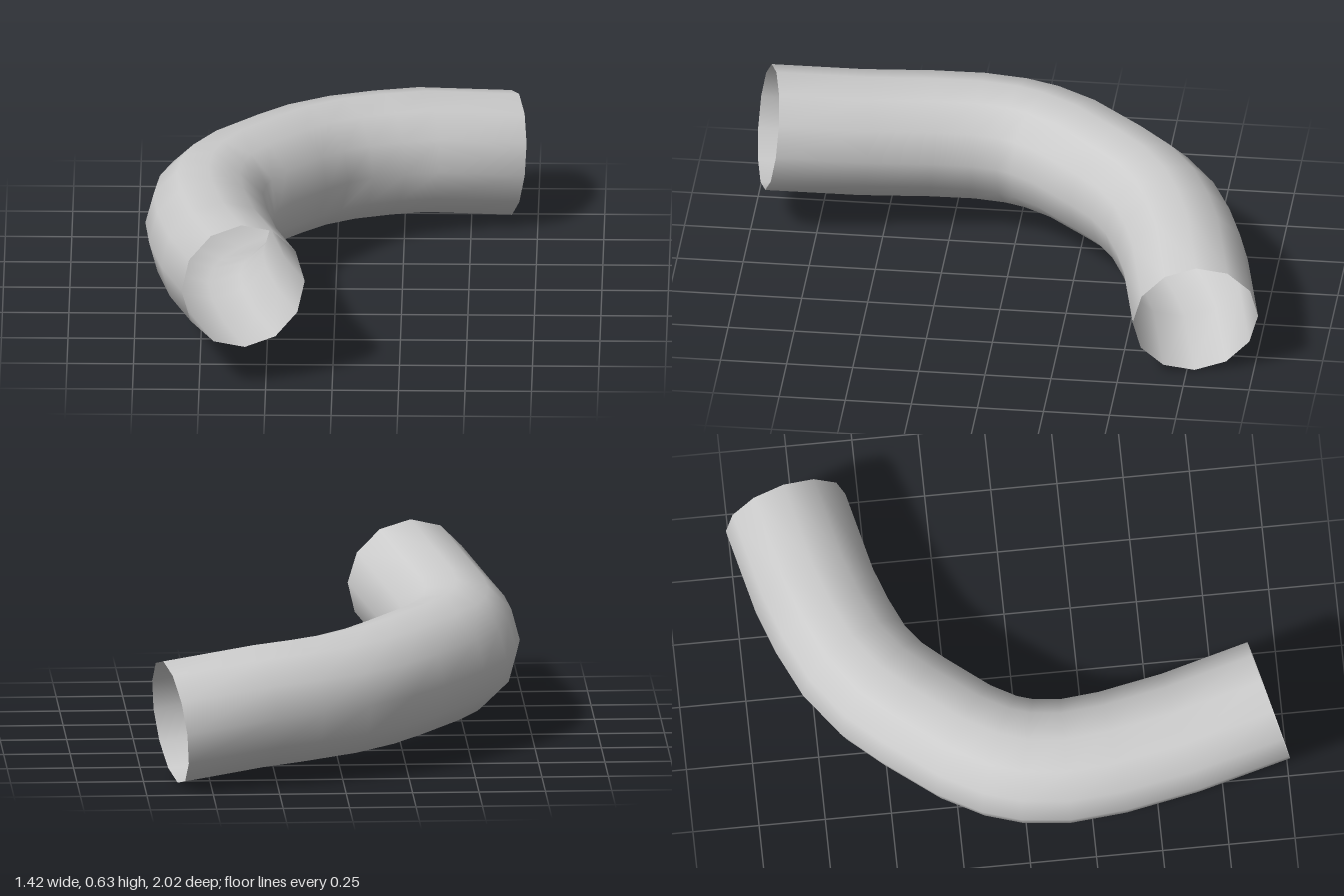
import * as THREE from 'three';

const SIDES = 12;
const RADIUS = 0.237;

// Centre line of the pipe, one point per ring, from the front mouth to the side mouth
const PATH = [
  [-0.335, 0.402, 0.942], [-0.415, 0.357, 0.6], [-0.462, 0.342, 0.34],
  [-0.477, 0.335, 0.16], [-0.462, 0.332, 0.02], [-0.43, 0.33, -0.08],
  [-0.36, 0.326, -0.205], [-0.215, 0.314, -0.385], [-0.115, 0.306, -0.495],
  [0.015, 0.297, -0.59], [0.165, 0.289, -0.658], [0.315, 0.281, -0.71],
  [0.65, 0.24, -0.785],
].map((p) => new THREE.Vector3(...p));

// Direction of the pipe at ring i, halfway between its two neighbouring spans
function tangentAt(i) {
  const span = (k) => PATH[k + 1].clone().sub(PATH[k]).normalize();
  const last = PATH.length - 2;
  return span(Math.max(i - 1, 0)).add(span(Math.min(i, last))).normalize();
}

// Open tube: rings of vertices joined by quads, sharing vertices for smooth shading
function pipeGeometry() {
  const positions = [];
  const indices = [];
  const worldUp = new THREE.Vector3(0, 1, 0);
  PATH.forEach((centre, i) => {
    const tangent = tangentAt(i);
    const side = tangent.clone().cross(worldUp).normalize();
    const up = side.clone().cross(tangent);
    for (let j = 0; j < SIDES; j++) {
      const a = (j / SIDES) * Math.PI * 2;
      const p = centre.clone()
        .addScaledVector(up, Math.cos(a) * RADIUS)
        .addScaledVector(side, Math.sin(a) * RADIUS);
      positions.push(p.x, p.y, p.z);
      if (i < PATH.length - 1) {
        const k = (j + 1) % SIDES;
        const r0 = i * SIDES;
        const r1 = r0 + SIDES;
        indices.push(r0 + j, r0 + k, r1 + j, r0 + k, r1 + k, r1 + j);
      }
    }
  });
  const geometry = new THREE.BufferGeometry();
  geometry.setAttribute('position', new THREE.Float32BufferAttribute(positions, 3));
  geometry.setIndex(indices);
  geometry.computeVertexNormals();
  return geometry;
}

export function createModel() {
  const group = new THREE.Group();
  group.name = 'bentPipe';
  const material = new THREE.MeshStandardMaterial({ color: 0xcccccc, side: THREE.DoubleSide });
  const pipe = new THREE.Mesh(pipeGeometry(), material);
  pipe.name = 'pipeWall';
  group.add(pipe);
  return group;
}
